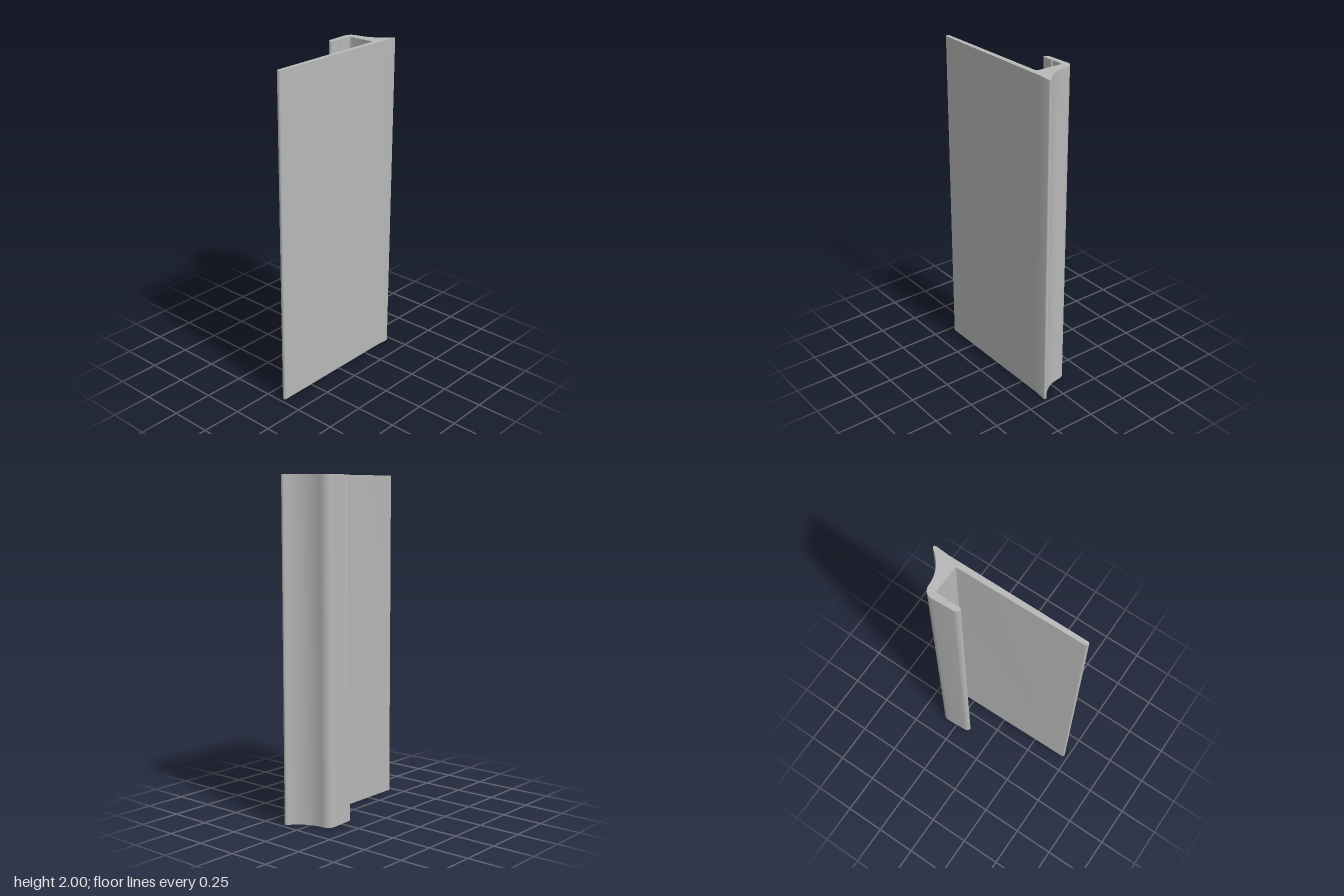
import * as THREE from 'three';
import { toCreasedNormals } from 'three/addons/utils/BufferGeometryUtils.js';

const HEIGHT = 2;

// Cross-section of the trim: shape y points to the back of the model
function profileShape() {
  const s = new THREE.Shape();
  // front face and flared tip
  s.moveTo(-0.464, -0.119);
  s.lineTo(0.38, -0.119);
  s.lineTo(0.464, -0.125);
  s.bezierCurveTo(0.475, -0.125, 0.479, -0.112, 0.468, -0.104);
  // concave outer flank
  s.bezierCurveTo(0.412, -0.065, 0.37, 0.0, 0.368, 0.075);
  // rounded shoulder and hook
  s.bezierCurveTo(0.367, 0.105, 0.345, 0.13, 0.315, 0.128);
  s.lineTo(0.187, 0.121);
  s.quadraticCurveTo(0.167, 0.12, 0.157, 0.104);
  s.quadraticCurveTo(0.152, 0.089, 0.168, 0.088);
  // inner hook face with a small groove
  s.lineTo(0.225, 0.088);
  s.lineTo(0.234, 0.096);
  s.lineTo(0.244, 0.088);
  s.lineTo(0.303, 0.088);
  // channel with filleted corners
  s.quadraticCurveTo(0.315, 0.088, 0.315, 0.076);
  s.lineTo(0.315, -0.072);
  s.quadraticCurveTo(0.315, -0.084, 0.303, -0.084);
  // tapered back of the panel and its rounded edge
  s.lineTo(-0.464, -0.094);
  s.bezierCurveTo(-0.48, -0.094, -0.48, -0.119, -0.464, -0.119);
  return s;
}

export function createModel() {
  const metal = new THREE.MeshStandardMaterial({ color: 0xb8b8b8 });
  metal.name = 'grey metal';

  const extruded = new THREE.ExtrudeGeometry(profileShape(), {
    depth: HEIGHT, bevelEnabled: false, curveSegments: 14,
  });
  extruded.rotateX(-Math.PI / 2); // stand the extrusion upright

  const trim = new THREE.Mesh(toCreasedNormals(extruded, 0.6), metal);
  trim.name = 'trimProfile';

  const group = new THREE.Group();
  group.name = 'hookedTrim';
  group.add(trim);
  return group;
}
